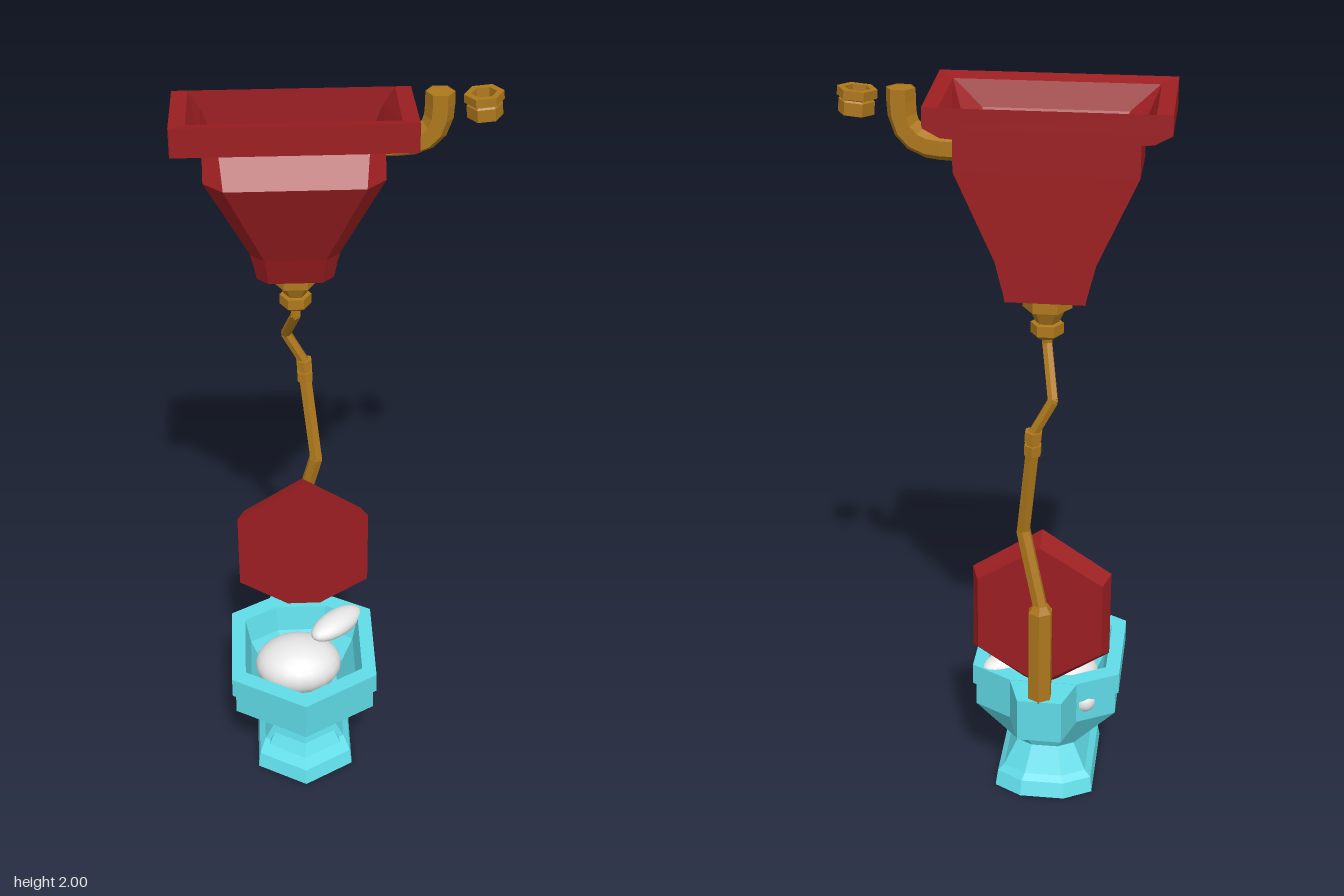
import * as THREE from 'three';

const flat = (color, name) => {
  const m = new THREE.MeshStandardMaterial({ color, flatShading: true, side: THREE.DoubleSide });
  m.name = name;
  return m;
};

// Skin a list of equal-sized rings, with end caps.
function loft(rings) {
  const n = rings[0].length, pos = [];
  const tri = (a, b, c) => pos.push(...a, ...b, ...c);
  for (let r = 0; r < rings.length - 1; r++) {
    for (let i = 0; i < n; i++) {
      const j = (i + 1) % n, A = rings[r], B = rings[r + 1];
      tri(A[i], A[j], B[j]);
      tri(A[i], B[j], B[i]);
    }
  }
  const first = rings[0], last = rings[rings.length - 1];
  for (let i = 1; i < n - 1; i++) {
    tri(first[0], first[i + 1], first[i]);
    tri(last[0], last[i], last[i + 1]);
  }
  const g = new THREE.BufferGeometry();
  g.setAttribute('position', new THREE.Float32BufferAttribute(pos, 3));
  g.computeVertexNormals();
  return g;
}

// Pointed front, straight sides and cut-off back: height, half width, front z, back z.
function bowlRing([y, hx, zf, zb]) {
  const z1 = zf - 0.6 * hx, z2 = zb + 0.32 * hx, b = 0.45 * hx;
  return [[0, y, zf], [hx, y, z1], [hx, y, z2], [b, y, zb], [-b, y, zb], [-hx, y, z2], [-hx, y, z1]];
}

// Regular hexagon: height, half width, half length, slope along z.
function lidRing([y, hx, hz, slope]) {
  return [[0, hz], [hx, hz / 2], [hx, -hz / 2], [0, -hz], [-hx, -hz / 2], [-hx, hz / 2]]
    .map(([x, z]) => [x, y + slope * z, z]);
}

// Rectangle with cut front corners: height, half width, front z, cut, drop at the back.
function tankRing([y, w, zf, c, drop = 0]) {
  const zb = -0.23;
  return [[-w + c, y, zf], [w - c, y, zf], [w, y, zf - c], [w, y - drop, zb], [-w, y - drop, zb], [-w, y, zf - c]];
}

export function createModel() {
  const root = new THREE.Group();
  const red = flat(0x9c1e21, 'dark red');
  const brass = flat(0xae781c, 'brass');
  const blue = flat(0x61deea, 'turquoise');
  const white = new THREE.MeshStandardMaterial({ color: 0xeeeeee });
  white.name = 'white';
  const CX = -0.112;

  const add = (name, geo, mat, x = 0, y = 0, z = 0) => {
    const m = new THREE.Mesh(geo, mat);
    m.name = name;
    m.position.set(x, y, z);
    root.add(m);
    return m;
  };
  const rod = (name, a, b, ra, rb = ra) => {
    const A = new THREE.Vector3(...a), B = new THREE.Vector3(...b), d = B.clone().sub(A);
    const m = add(name, new THREE.CylinderGeometry(rb, ra, d.length(), 6), brass);
    m.position.copy(A).add(B).multiplyScalar(0.5);
    m.quaternion.setFromUnitVectors(new THREE.Vector3(0, 1, 0), d.normalize());
  };
  const hexLathe = (name, pts, x, y, z) => {
    const g = new THREE.LatheGeometry(pts.map(p => new THREE.Vector2(...p)), 6);
    g.rotateY(Math.PI / 6);
    return add(name, g, brass, x, y, z);
  };

  // Bowl and pedestal: hollow foot, outside going up, then inside going down
  add('bowl', loft([
    [0.125, 0.068, 0.105, -0.12], [0.05, 0.105, 0.16, -0.155], [0, 0.125, 0.19, -0.18],
    [0, 0.137, 0.212, -0.202], [0.04, 0.132, 0.197, -0.187], [0.058, 0.115, 0.142, -0.175],
    [0.13, 0.08, 0.12, -0.137], [0.248, 0.195, 0.274, -0.186], [0.315, 0.195, 0.274, -0.186],
    [0.315, 0.204, 0.288, -0.19], [0.375, 0.204, 0.288, -0.19],
    [0.375, 0.165, 0.235, -0.145], [0.3, 0.15, 0.2, -0.13], [0.2, 0.1, 0.122, -0.08],
  ].map(bowlRing)), blue, CX);

  // Block behind the bowl that carries the pipe
  const block = new THREE.Shape([[-0.092, 0.15], [0.092, 0.15], [0.092, 0.19], [0.06, 0.29], [-0.06, 0.29], [-0.092, 0.19]]
    .map(p => new THREE.Vector2(...p)));
  const blockGeo = new THREE.ExtrudeGeometry(block, { depth: 0.124, bevelEnabled: false });
  blockGeo.rotateX(-Math.PI / 2);
  add('bowlBackBlock', blockGeo, blue, CX, 0.25, 0);

  // Soft white heap in the bowl, with a tongue lying over the rim and a bulge at the back
  const heap = (name, x, y, z, rx, ry, rz, turn = 0) => {
    const m = add(name, new THREE.SphereGeometry(1, 20, 14), white, x, y, z);
    m.scale.set(rx, ry, rz);
    m.rotation.y = turn;
  };
  heap('foam', -0.125, 0.29, 0.005, 0.125, 0.075, 0.105);
  heap('foamTongue', -0.01, 0.367, -0.075, 0.095, 0.033, 0.045, 0.75);
  heap('foamBulge', -0.222, 0.3, -0.15, 0.032, 0.032, 0.032);

  // Raised lid, leaning forward and thicker at the top
  const lidGeo = loft([[-0.022, 0.168, 0.213, 0.07], [0.025, 0.187, 0.24, 0]].map(lidRing));
  lidGeo.rotateX(Math.PI / 2);
  add('lid', lidGeo, red, -0.102, 0.585, -0.178).rotation.x = 0.045;

  // Down pipe
  rod('pipeSleeve', [-0.11, 0.37, -0.257], [-0.11, 0.64, -0.257], 0.034);
  rod('pipeSleeveTop', [-0.11, 0.64, -0.257], [-0.11, 0.66, -0.257], 0.032, 0.02);
  const path = [[-0.11, 0.65, -0.257], [-0.06, 0.86, -0.222], [-0.088, 1.12, -0.26],
    [-0.09, 1.16, -0.262], [-0.138, 1.25, -0.262], [-0.112, 1.365, -0.162], [-0.112, 1.42, -0.165]];
  const radii = [0.02, 0.019, 0.018, 0.015, 0.014, 0.014];
  radii.forEach((r, i) => rod('downPipe', path[i], path[i + 1], r));
  [1, 4, 5].forEach(i => add('pipeBend', new THREE.IcosahedronGeometry(radii[i] * 1.05, 0), brass, ...path[i]));
  rod('pipeCollarLower', [-0.087, 1.1, -0.258], [-0.088, 1.128, -0.26], 0.024);
  rod('pipeCollarUpper', [-0.088, 1.138, -0.261], [-0.09, 1.165, -0.262], 0.024);

  // Nut under the tank and its ring inside
  hexLathe('tankNut', [[0, -0.11], [0.025, -0.11], [0.042, -0.098], [0.042, -0.07], [0.03, -0.068],
    [0.046, -0.035], [0.0625, -0.03], [0.0625, 0], [0, 0]], CX, 1.495, -0.17);
  hexLathe('drainRing', [[0.0625, 0], [0.0625, 0.03], [0.042, 0.03], [0.025, 0.01], [0, 0.01]],
    CX, 1.52, -0.17);

  // Open tank, outside going up then inside going down
  add('tank', loft([
    [1.495, 0.1, -0.1, 0.03], [1.575, 0.114, -0.075, 0.035], [1.82, 0.225, 0.024, 0.05],
    [1.9, 0.225, -0.04, 0.04], [1.902, 0.255, 0, 0.002], [1.925, 0.298, 0.05, 0.002],
    [2, 0.298, 0.05, 0.002, 0.025], [1.99, 0.258, 0.006, 0.002, 0.015],
    [1.925, 0.228, -0.013, 0.045], [1.88, 0.21, -0.05, 0.045], [1.7, 0.15, -0.065, 0.05],
    [1.52, 0.105, -0.105, 0.03],
  ].map(tankRing)), red, CX);

  // Elbow pipe at the side of the tank
  const bend = new THREE.CatmullRomCurve3([[0.085, 1.862, -0.15], [0.15, 1.862, -0.148],
    [0.205, 1.872, -0.144], [0.242, 1.91, -0.141], [0.25, 1.96, -0.14], [0.25, 2, -0.14]]
    .map(p => new THREE.Vector3(...p)));
  add('sideElbow', new THREE.TubeGeometry(bend, 8, 0.037, 6), brass);
  const cap = new THREE.CircleGeometry(0.036, 6);
  cap.rotateX(-Math.PI / 2);
  add('sideElbowEnd', cap, brass, 0.25, 1.998, -0.14);

  // Loose nut beside the elbow
  hexLathe('looseNut', [[0.03, -0.062], [0.045, -0.062], [0.045, -0.03], [0.04, -0.026], [0.05, -0.022],
    [0.05, 0], [0.032, 0], [0.03, -0.062]], 0.357, 1.995, -0.137).rotation.z = 0.09;

  return root;
}
